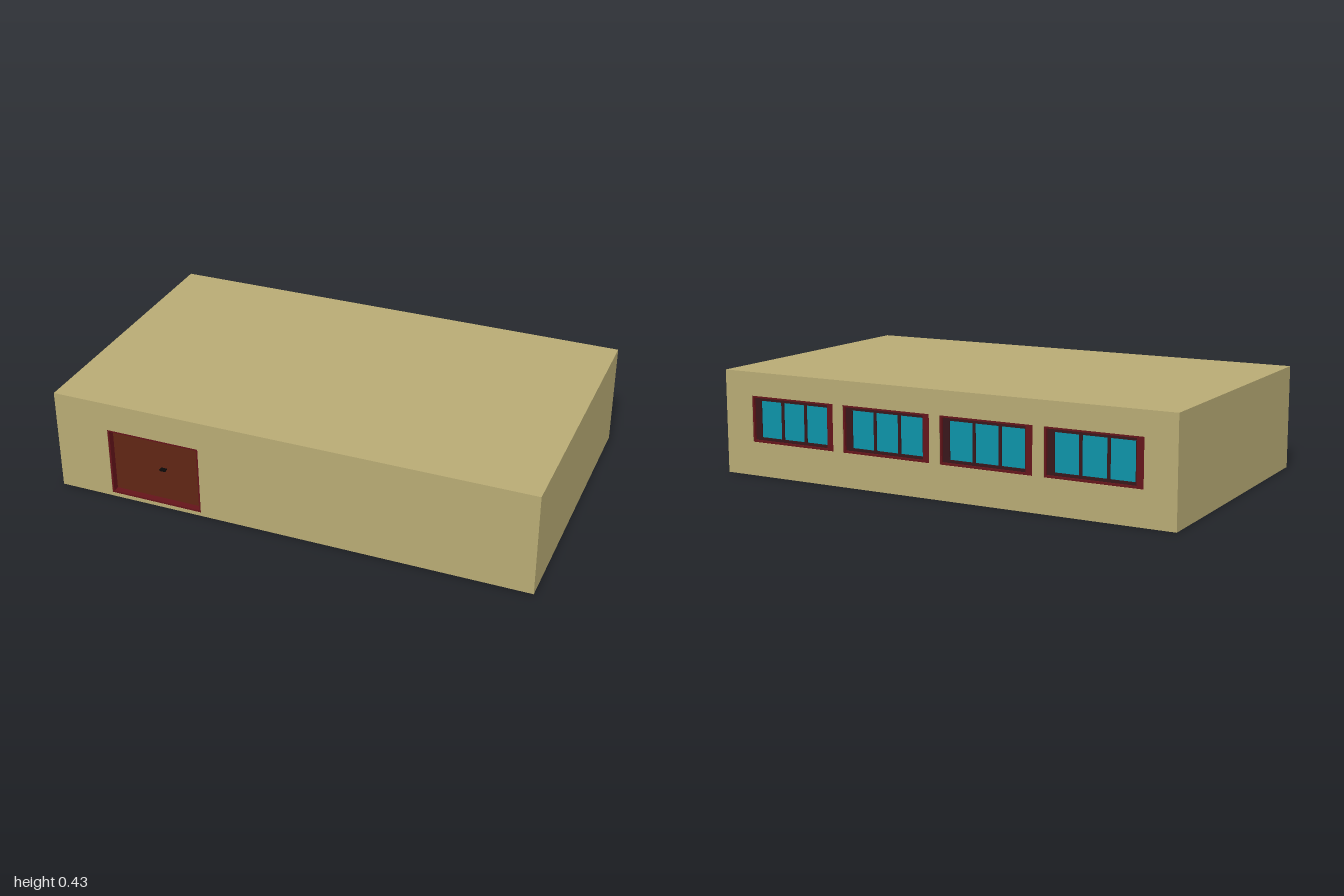
import * as THREE from 'three';

const mat = (color) => new THREE.MeshStandardMaterial({ color });

export function createModel() {
  const W = 2, H = 0.43, D = 1.2, T = 0.05;
  const wall = mat(0xb8ab74), red = mat(0x64141a), sash = mat(0x38161a);
  const glass = mat(0x0c93a8), wood = mat(0x602514), black = mat(0x0a0808);
  const model = new THREE.Group();
  model.name = 'building';

  const add = (parent, name, geometry, material, x = 0, y = 0, z = 0) => {
    const mesh = new THREE.Mesh(geometry, material);
    mesh.name = name;
    mesh.position.set(x, y, z);
    parent.add(mesh);
    return mesh;
  };
  const box = (parent, name, w, h, d, material, x, y, z) =>
    add(parent, name, new THREE.BoxGeometry(w, h, d), material, x, y, z);

  const trace = (path, x0, y0, x1, y1) =>
    path.moveTo(x0, y0).lineTo(x1, y0).lineTo(x1, y1).lineTo(x0, y1).closePath();

  // Flat panel with rectangular holes, each given as [x0, y0, x1, y1]
  const panel = (outer, holes, depth) => {
    const shape = new THREE.Shape();
    trace(shape, ...outer);
    for (const hole of holes) {
      const path = new THREE.Path();
      trace(path, ...hole);
      shape.holes.push(path);
    }
    return new THREE.ExtrudeGeometry(shape, { depth, bevelEnabled: false });
  };

  // Body: solid core with pierced front and back walls
  const door = [-0.77, 0.015, -0.37, 0.31];
  const winW = 0.4, winY0 = 0.14, winY1 = 0.332;
  const centres = [-0.67, -0.223, 0.223, 0.67];
  const outline = [-W / 2, 0, W / 2, H];
  box(model, 'body', W, H, D - 2 * T, wall, 0, H / 2, 0);
  add(model, 'frontWall', panel(outline, [door], T), wall, 0, 0, D / 2 - T);
  const openings = centres.map((c) => [c - winW / 2, winY0, c + winW / 2, winY1]);
  add(model, 'backWall', panel(outline, openings, T), wall, 0, 0, -D / 2);

  // Door: thin frame, recessed leaf and a small handle
  const entrance = new THREE.Group();
  entrance.name = 'door';
  model.add(entrance);
  const [x0, y0, x1, y1] = door;
  const f = 0.008;
  add(entrance, 'doorFrame', panel(door, [[x0 + f, y0 + f, x1 - f, y1 - f]], T - 0.002), red, 0, 0, D / 2 - T);
  box(entrance, 'doorLeaf', x1 - x0 - 2 * f, y1 - y0 - 2 * f, 0.02, wood,
    (x0 + x1) / 2, (y0 + y1) / 2, D / 2 - T + 0.01);
  box(entrance, 'handle', 0.025, 0.006, 0.02, black, -0.54, 0.165, D / 2 - 0.022);

  // Windows: red frame, dark sash and three panes; the sash sits off the -x end
  const winH = winY1 - winY0;
  const paneW = 0.1, pitch = 0.1125, paneH = winH - 0.04;
  for (const c of centres) {
    const win = new THREE.Group();
    win.name = 'window';
    win.position.set(c, (winY0 + winY1) / 2, -D / 2);
    model.add(win);
    const hw = winW / 2, hh = winH / 2;
    const inner = [-hw + 0.03, -hh + 0.008, hw - 0.008, hh - 0.008];
    add(win, 'windowFrame', panel([-hw, -hh, hw, hh], [inner], T - 0.004), red, 0, 0, 0.004);
    const panes = [-1, 0, 1].map((i) => i * pitch);
    const holes = panes.map((p) => [p - paneW / 2, -paneH / 2, p + paneW / 2, paneH / 2]);
    add(win, 'sash', panel(inner, holes, 0.02), sash, 0, 0, 0.014);
    for (const p of panes) box(win, 'pane', paneW, paneH, 0.01, glass, p, 0, 0.023);
  }
  return model;
}
